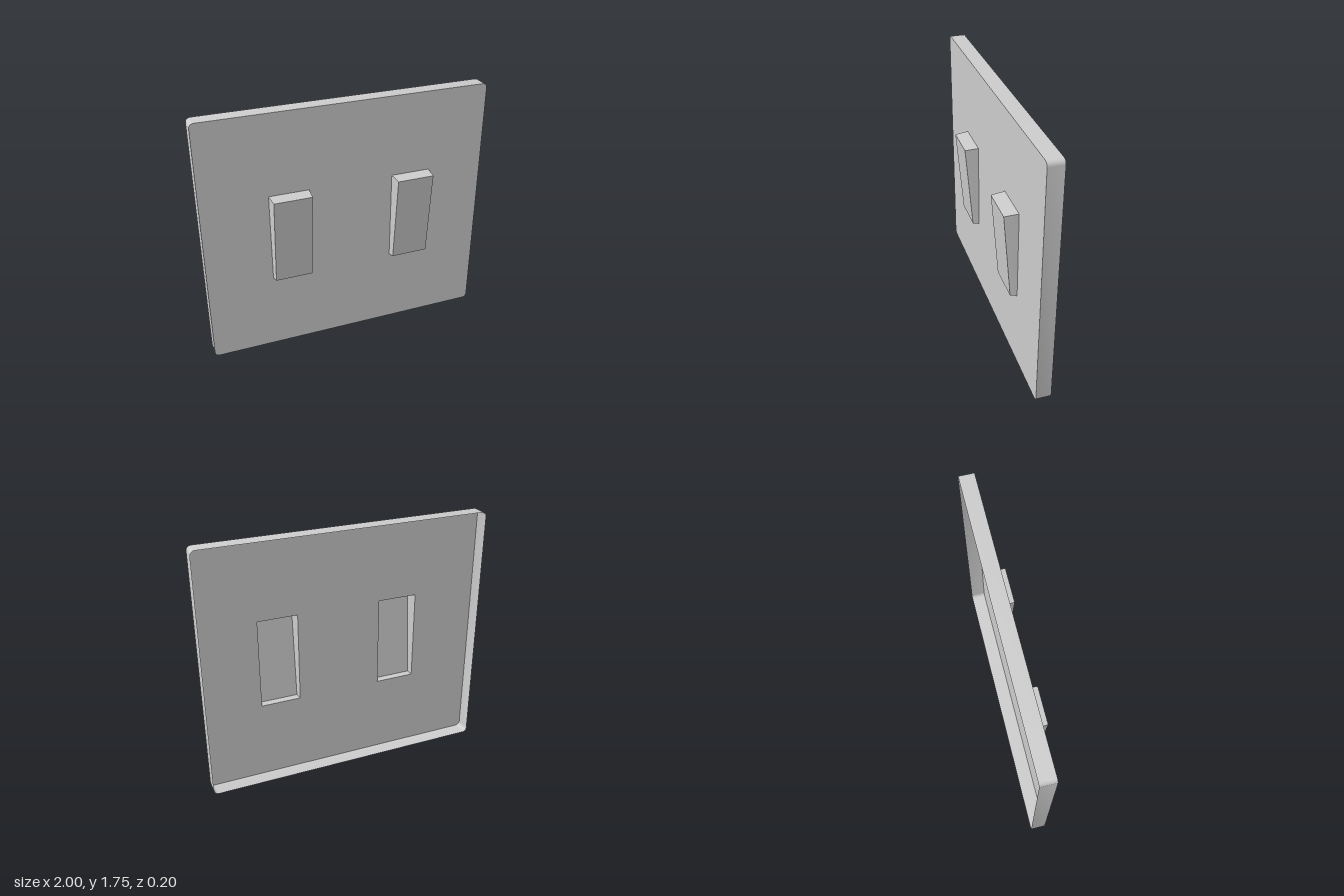
import * as THREE from 'three';
import { toCreasedNormals } from 'three/addons/utils/BufferGeometryUtils.js';

const HEIGHT = 1.755, FRONT = 0.005, BACK = -0.1, RADIUS = 0.03;

// Closed wall between two matching anticlockwise loops of Vector3, with an optional cap
function loft(a, b, capped) {
  const pos = [];
  const tri = (...pts) => pts.forEach((p) => pos.push(p.x, p.y, p.z));
  a.forEach((p, i) => {
    const j = (i + 1) % a.length;
    tri(p, a[j], b[j]);
    tri(p, b[j], b[i]);
  });
  if (capped) for (let i = 1; i < b.length - 1; i++) tri(b[0], b[i], b[i + 1]);
  const geo = new THREE.BufferGeometry();
  geo.setAttribute('position', new THREE.Float32BufferAttribute(pos, 3));
  geo.computeVertexNormals();
  return toCreasedNormals(geo, Math.PI / 5);
}

// Rectangle loop, with separate depths for the lower and upper edges
function rectLoop(x, halfWidth, y0, y1, z0, z1) {
  return [
    new THREE.Vector3(x - halfWidth, y0, z0), new THREE.Vector3(x + halfWidth, y0, z0),
    new THREE.Vector3(x + halfWidth, y1, z1), new THREE.Vector3(x - halfWidth, y1, z1),
  ];
}

// Rounded outline of the wall plate
function outlinePoints() {
  const pts = [];
  const corners = [[1, 0], [1, 1], [-1, 1], [-1, 0]];
  corners.forEach(([sx, top], c) => {
    for (let k = 0; k <= 4; k++) {
      const t = (c - 1 + k / 4) * Math.PI / 2;
      pts.push(new THREE.Vector2(
        sx * (1 - RADIUS) + RADIUS * Math.cos(t),
        (top ? HEIGHT - RADIUS : RADIUS) + RADIUS * Math.sin(t)));
    }
  });
  return pts;
}

export function createModel() {
  const model = new THREE.Group();
  model.name = 'lightSwitch';
  const plastic = new THREE.MeshStandardMaterial({ color: 0xcccccc, side: THREE.DoubleSide });
  plastic.name = 'light grey plastic';
  const add = (name, geo) => {
    const mesh = new THREE.Mesh(geo, plastic);
    mesh.name = name;
    model.add(mesh);
  };

  const outline = outlinePoints();
  const face = new THREE.Shape(outline);

  // Hollow tilted rockers, open to the back through the plate
  for (const [name, x] of [['rightRocker', -0.408], ['leftRocker', 0.459]]) {
    const base = rectLoop(x, 0.138, 0.555, 1.187, FRONT, FRONT);
    const front = rectLoop(x, 0.13, 0.56, 1.18, 0.05, 0.1);
    add(name, loft(base, front, true));
    face.holes.push(new THREE.Path(base.map((p) => new THREE.Vector2(p.x, p.y)).reverse()));
  }

  // Thin front sheet and the rim that runs back from its edge
  const sheet = new THREE.ShapeGeometry(face);
  sheet.translate(0, 0, FRONT);
  add('plateFace', sheet);
  const loopAt = (z) => outline.map((p) => new THREE.Vector3(p.x, p.y, z));
  add('plateRim', loft(loopAt(BACK), loopAt(FRONT), false));

  return model;
}
